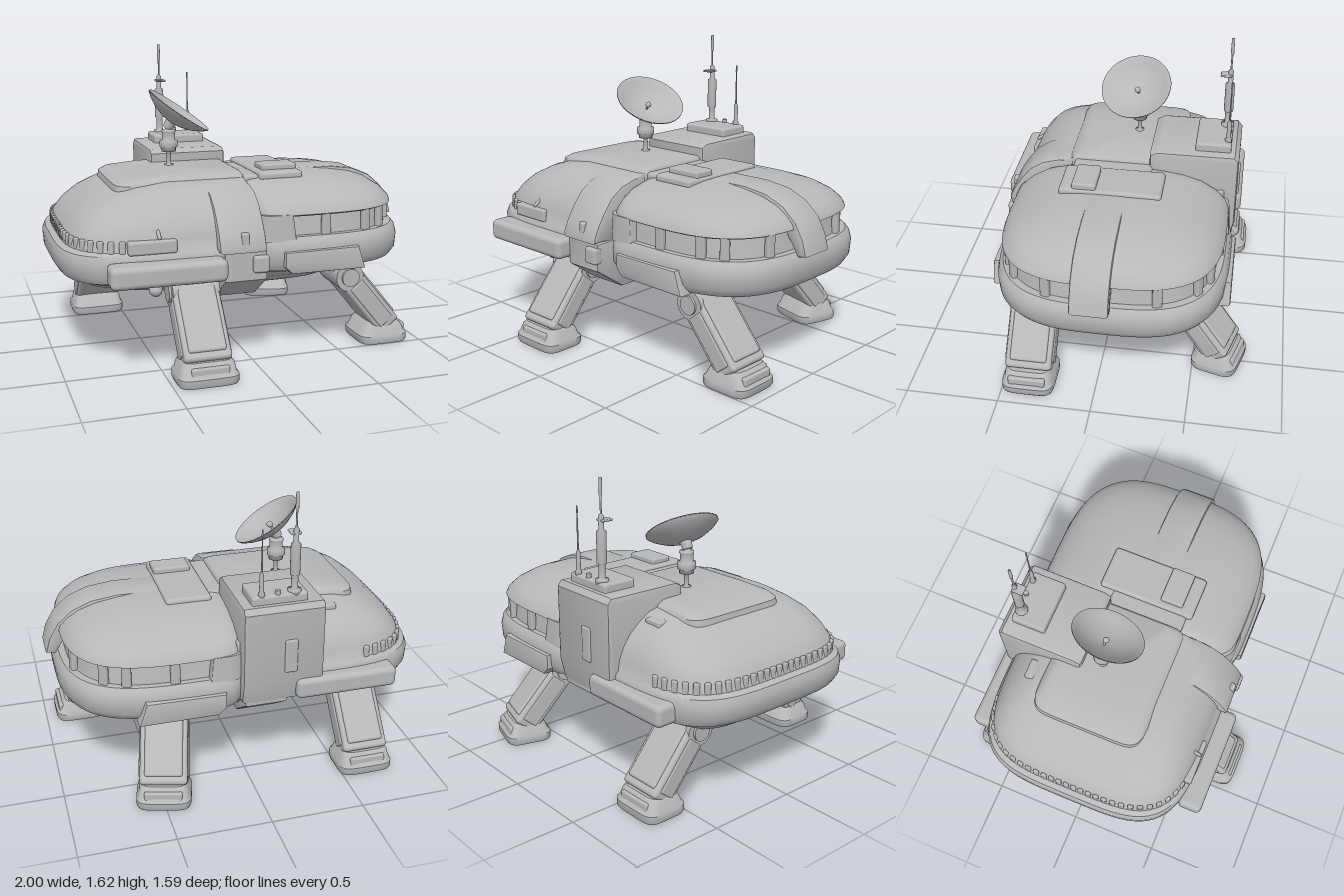
import * as THREE from 'three';
import { toCreasedNormals } from 'three/addons/utils/BufferGeometryUtils.js';
import { RoundedBoxGeometry } from 'three/addons/geometries/RoundedBoxGeometry.js';

const hullGrey = new THREE.MeshStandardMaterial({ color: 0xb8b8b8 });
hullGrey.name = 'hullGrey';
hullGrey.side = THREE.DoubleSide;

function add(parent, name, geo, x = 0, y = 0, z = 0) {
  const m = new THREE.Mesh(geo, hullGrey);
  m.name = name;
  m.position.set(x, y, z);
  parent.add(m);
  return m;
}

// Rounded box given by its limits
function box(parent, name, [x0, x1], [y0, y1], [z0, z1], r = 0.02) {
  const s = [x1 - x0, y1 - y0, z1 - z0];
  const geo = new RoundedBoxGeometry(...s, 3, Math.min(r, Math.min(...s) * 0.45));
  return add(parent, name, geo, (x0 + x1) / 2, (y0 + y1) / 2, (z0 + z1) / 2);
}

// Point on a rounded-rectangle outline; the two ends may be squared differently
function outline(t, { x0, x1, cx, cz, hz, nBack, nFront }) {
  const c = Math.cos(t), s = Math.sin(t), e = 2 / (c < 0 ? nBack : nFront);
  const px = Math.pow(Math.abs(c), e), pz = Math.pow(Math.abs(s), e);
  return [c < 0 ? cx - (cx - x0) * px : cx + (x1 - cx) * px, cz + Math.sign(s) * hz * pz];
}

// Hull lofted through levels [y, x0, x1, half width]
function hull(parent, name, levels, plan) {
  const N = 96, pos = [], idx = [];
  for (const [y, x0, x1, hz] of levels)
    for (let i = 0; i < N; i++) {
      const [x, z] = outline((i / N) * Math.PI * 2, { ...plan, x0, x1, hz });
      pos.push(x, y, z);
    }
  const L = levels.length, low = L * N, top = low + 1;
  pos.push(plan.cx, levels[0][0], plan.cz, plan.cx, levels[L - 1][0], plan.cz);
  for (let i = 0; i < N; i++) {
    const j = (i + 1) % N, o = (L - 1) * N;
    for (let k = 0; k < L - 1; k++) {
      const a = k * N, b = a + N;
      idx.push(a + i, b + i, b + j, a + i, b + j, a + j);
    }
    idx.push(low, i, j, top, o + j, o + i);
  }
  const g = new THREE.BufferGeometry();
  g.setAttribute('position', new THREE.Float32BufferAttribute(pos, 3));
  g.setIndex(idx);
  return add(parent, name, toCreasedNormals(g, 0.65));
}

// Small block set on an outline at a polar angle and turned along it
function rimBlock(parent, name, plan, angle, y, size, r) {
  const c = Math.cos(angle), s = Math.sin(angle), p = (c < 0 ? plan.nBack : plan.nFront) / 2;
  const t = Math.atan2(Math.sign(s) * Math.abs(s) ** p, Math.sign(c) * Math.abs(c) ** p);
  const [x, z] = outline(t, plan), [xa, za] = outline(t - 0.01, plan), [xb, zb] = outline(t + 0.01, plan);
  add(parent, name, new RoundedBoxGeometry(...size, 2, r), x, y, z).rotation.y = Math.atan2(za - zb, xb - xa);
}

// Extruded profile: in the side plane (z, y) along x, or in the front plane (x, y) along z
function extrude(parent, name, pts, a, b, alongX, bevel = 0.012) {
  const shape = new THREE.Shape(pts.map(p => new THREE.Vector2(...p)));
  const g = new THREE.ExtrudeGeometry(shape, {
    depth: b - a - 2 * bevel, bevelThickness: bevel, bevelSize: bevel, bevelOffset: -bevel, bevelSegments: 2,
  });
  if (alongX) g.rotateY(-Math.PI / 2).translate(b - bevel, 0, 0);
  else g.translate(0, 0, a + bevel);
  return add(parent, name, toCreasedNormals(g, 0.6));
}

const lathe = (pts, n = 24) => new THREE.LatheGeometry(pts.map(p => new THREE.Vector2(...p)), n);

// Leg splaying along its own +z, with a foot of the given half width and half depth
function leg(parent, name, x, z, yaw, fw, fd) {
  const g = new THREE.Group();
  g.name = name;
  g.position.set(x, 0, z);
  g.rotation.y = yaw;
  parent.add(g);
  const beam = new THREE.Group();
  beam.name = 'legBeam';
  beam.position.set(0, 0.4, 0);
  beam.rotation.x = -0.69;
  g.add(beam);
  box(beam, 'strut', [-0.125, 0.125], [-0.4, 0.04], [-0.07, 0.07], 0.02);
  box(beam, 'strutCover', [-0.1, 0.1], [-0.36, 0.01], [0.05, 0.082], 0.015);
  for (const s of [-1, 1]) {
    box(beam, 'sideRail', [s * 0.122 - 0.01, s * 0.122 + 0.01], [-0.36, -0.06], [-0.045, 0.045], 0.008);
    add(g, 'hipCap', new THREE.CylinderGeometry(0.05, 0.05, 0.02, 24).rotateZ(Math.PI / 2), s * 0.128, 0.4, 0);
  }
  add(g, 'hipJoint', new THREE.CylinderGeometry(0.08, 0.08, 0.25, 28).rotateZ(Math.PI / 2), 0, 0.4, 0);
  box(g, 'hipMount', [-0.08, 0.08], [0.38, 0.5], [-0.08, 0.06]);
  hull(g, 'foot', [[0, 0.97, 0.95], [0.012, 1, 1], [0.045, 1, 1], [0.06, 0.93, 0.9], [0.1, 0.88, 0.76],
    [0.118, 0.78, 0.62]].map(([y, w, d]) => [y, -fw * w, fw * w, fd * d]),
    { cx: 0, cz: 0.225, nBack: 5, nFront: 5 });
  box(g, 'toePlate', [-0.1, 0.1], [0.05, 0.1], [0.28, 0.21 + fd], 0.012);
}

export function createModel() {
  const model = new THREE.Group();
  model.name = 'walkerBase';

  // Rear module
  const rear = { cx: -0.3, cz: -0.015, nBack: 4, nFront: 14 };
  hull(model, 'rearHull', [[0.48, -0.92, 0.02, 0.56], [0.5, -0.97, 0.03, 0.6], [0.54, -0.995, 0.03, 0.615],
    [0.61, -1, 0.03, 0.618], [0.645, -0.985, 0.03, 0.61], [0.66, -0.955, 0.03, 0.595], [0.72, -0.935, 0.03, 0.585],
    [0.78, -0.89, 0.03, 0.558], [0.84, -0.815, 0.03, 0.515], [0.89, -0.72, 0.03, 0.455], [0.93, -0.6, 0.03, 0.39],
    [0.95, -0.45, 0.03, 0.31]], rear);
  hull(model, 'rearRoofPanel', [[0.88, -0.68, 0.04, 0.325], [0.935, -0.67, 0.04, 0.32], [0.955, -0.635, 0.04, 0.305],
    [0.973, -0.48, 0.03, 0.27], [0.978, -0.35, 0.02, 0.24]], { cx: -0.3, cz: -0.04, nBack: 8, nFront: 14 });

  // Teeth around the rear rim
  const teethPlan = { ...rear, x0: -0.945, x1: 0.03, hz: 0.59 };
  for (let i = 0; i < 30; i++)
    rimBlock(model, 'rimTooth', teethPlan, Math.PI * (0.66 + 0.68 * i / 29), 0.685, [0.032, 0.065, 0.022], 0.008);
  box(model, 'sideVent', [-0.68, -0.43], [0.65, 0.72], [0.53, 0.595], 0.012);

  // Front cabin with recessed window band
  const cab = { cx: 0.3, cz: -0.045, nBack: 5, nFront: 3.1 };
  hull(model, 'cabinBumper', [[0.475, 0.03, 0.9, 0.55], [0.49, 0.01, 0.935, 0.59], [0.53, 0, 0.96, 0.615],
    [0.6, 0, 0.965, 0.62], [0.645, 0, 0.955, 0.61], [0.67, 0.01, 0.935, 0.59]], cab);
  hull(model, 'windowBand', [[0.66, 0.03, 0.9, 0.56], [0.79, 0.03, 0.88, 0.54]], cab);
  hull(model, 'cabinRoof', [[0.775, 0, 0.905, 0.57], [0.785, 0, 0.925, 0.59], [0.81, 0, 0.915, 0.58],
    [0.85, 0.005, 0.875, 0.54], [0.89, 0.01, 0.81, 0.47], [0.92, 0.03, 0.72, 0.38], [0.94, 0.06, 0.6, 0.28],
    [0.95, 0.1, 0.5, 0.2]], cab);
  hull(model, 'cabinRearWall', [[0.65, 0, 0.23, 0.6], [0.79, 0, 0.21, 0.59]], { ...cab, cx: 0.2, nFront: 14 });
  const pillarPlan = { ...cab, x0: 0.02, x1: 0.905, hz: 0.565 };
  for (const a of [0.48, 0.84, 1.02, 1.4])
    for (const s of [-1, 1]) rimBlock(model, 'windowPillar', pillarPlan, s * a, 0.725, [0.05, 0.15, 0.035], 0.012);

  // Strap running over the nose
  extrude(model, 'noseStrap', [[0.37, 0.9], [0.37, 0.952], [0.6, 0.953], [0.74, 0.935], [0.85, 0.89], [0.93, 0.82],
    [0.978, 0.735], [1, 0.655], [0.95, 0.645], [0.9, 0.72], [0.84, 0.8], [0.7, 0.88]], -0.1, 0.1, false);
  box(model, 'cabinRoofPlate', [0.12, 0.37], [0.92, 0.97], [-0.28, 0.27]);
  box(model, 'roofHatch', [0.155, 0.36], [0.96, 1], [0.07, 0.2], 0.012);
  box(model, 'centreBridge', [-0.02, 0.13], [0.6, 0.955], [-0.2, 0.24]);
  box(model, 'centreCore', [-0.05, 0.12], [0.5, 0.86], [-0.5, 0.42]);

  // Belly and the joining frame around it
  hull(model, 'belly', [[0.345, -0.55, 0.48, 0.28], [0.36, -0.64, 0.53, 0.32], [0.42, -0.84, 0.62, 0.44],
    [0.485, -0.93, 0.7, 0.52]], { cx: -0.05, cz: -0.05, nBack: 5, nFront: 5 });
  extrude(model, 'joiningFrame', [[0.62, 0.63], [0.62, 0.48], [0.44, 0.355], [-0.46, 0.355], [-0.64, 0.48],
    [-0.64, 0.63]], -0.19, 0.04, true);
  box(model, 'bellyPanel', [-0.5, -0.28], [0.338, 0.36], [-0.22, 0.16], 0.006);
  box(model, 'bellyPanel', [0.12, 0.34], [0.338, 0.36], [-0.22, 0.16], 0.006);

  // Curved side cover
  extrude(model, 'sideCover', [[0.25, 0.82], [0.25, 0.938], [0.34, 0.935], [0.43, 0.91], [0.505, 0.86], [0.56, 0.79],
    [0.605, 0.72], [0.632, 0.66], [0.632, 0.63], [0.5, 0.63], [0.4, 0.76]], -0.22, 0.035, true, 0.02);
  box(model, 'sideLatch', [-0.1, -0.06], [0.65, 0.73], [0.59, 0.628], 0.01);
  box(model, 'frameLatch', [-0.04, 0.045], [0.52, 0.61], [0.59, 0.645], 0.015);

  // Equipment tower at the back
  extrude(model, 'equipmentTower', [[-0.18, 0.88], [-0.18, 1.025], [-0.22, 1.047], [-0.645, 1.05], [-0.668, 1.02],
    [-0.668, 0.62], [-0.64, 0.5], [-0.4, 0.5]], -0.38, 0.06, true, 0.02);
  box(model, 'towerTopPlate', [-0.295, 0.005], [1.03, 1.095], [-0.62, -0.425], 0.015);
  box(model, 'towerSlot', [-0.23, -0.16], [0.67, 0.86], [-0.678, -0.65], 0.012);
  box(model, 'towerSideHandle', [0.05, 0.075], [0.72, 0.84], [-0.6, -0.55], 0.01);

  // Side pontoons and cabin fenders
  box(model, 'frontPontoon', [-0.79, -0.19], [0.505, 0.62], [0.56, 0.695], 0.03);
  box(model, 'backPontoon', [-0.79, -0.23], [0.505, 0.62], [-0.695, -0.56], 0.03);
  const fender = [[0.15, 0.6], [0.57, 0.605], [0.61, 0.48], [0.19, 0.48], [0.15, 0.52]];
  extrude(model, 'frontFender', fender, 0.48, 0.592, false);
  extrude(model, 'backFender', fender, -0.685, -0.57, false);

  // Legs
  leg(model, 'frontRightLeg', -0.315, 0.45, 0, 0.16, 0.127);
  leg(model, 'frontLeftLeg', 0.57, 0.36, Math.PI / 2, 0.142, 0.145);
  leg(model, 'backLeftLeg', 0.425, -0.425, Math.PI - 0.27, 0.145, 0.13);
  leg(model, 'backRightLeg', -0.64, -0.395, Math.PI, 0.152, 0.127);
  add(model, 'undersideLamp', new THREE.SphereGeometry(0.035, 20, 14), -0.515, 0.425, 0.46);

  // Dish on its post
  add(model, 'dishPost', lathe([[0, 0.95], [0.025, 0.95], [0.025, 0.982], [0.012, 0.985], [0.012, 1.05], [0.04, 1.055],
    [0.04, 1.075], [0.05, 1.08], [0.05, 1.115], [0.036, 1.12], [0.036, 1.16], [0.04, 1.165], [0.04, 1.175],
    [0.02, 1.18], [0.02, 1.22], [0, 1.22]]), -0.3, 0, -0.08);
  const dish = new THREE.Group();
  dish.name = 'dish';
  dish.position.set(-0.25, 1.275, -0.065);
  dish.quaternion.setFromUnitVectors(new THREE.Vector3(0, 1, 0), new THREE.Vector3(0.55, 0.83, 0.14).normalize());
  model.add(dish);
  add(dish, 'dishBowl', lathe([[0, -0.07], [0.06, -0.063], [0.12, -0.043], [0.17, -0.015], [0.198, 0.008],
    [0.198, 0.016], [0.165, -0.006], [0.12, -0.033], [0.06, -0.053], [0, -0.06]], 48));
  add(dish, 'feedStem', new THREE.CylinderGeometry(0.006, 0.006, 0.04, 10), 0, -0.045, 0);
  add(dish, 'feedBall', new THREE.SphereGeometry(0.017, 16, 12), 0, -0.025, 0);
  add(dish, 'dishHub', new THREE.CylinderGeometry(0.035, 0.025, 0.05, 20), 0, -0.085, 0);

  // Antennas and studs on the tower
  add(model, 'tallAntenna', lathe([[0, 1.08], [0.035, 1.08], [0.035, 1.105], [0.018, 1.11], [0.018, 1.18], [0.026, 1.185],
    [0.026, 1.35], [0.014, 1.36], [0.014, 1.43], [0.005, 1.44], [0.005, 1.53], [0.009, 1.535], [0.008, 1.62],
    [0, 1.622]], 16), -0.228, 0, -0.585);
  box(model, 'antennaClamp', [-0.255, -0.2], [1.4, 1.412], [-0.595, -0.53], 0.005);
  add(model, 'shortAntenna', lathe([[0, 1.08], [0.018, 1.08], [0.018, 1.11], [0.012, 1.115], [0.012, 1.21], [0.005, 1.22],
    [0.003, 1.41], [0.005, 1.415], [0.004, 1.45], [0, 1.45]], 12), -0.048, 0, -0.6);
  add(model, 'towerStud', new THREE.CylinderGeometry(0.014, 0.014, 0.03, 14), -0.135, 1.1, -0.6);

  // Small handles on the rear roof
  for (const [x, y, z] of [[-0.52, 0.895, 0.36], [-0.52, 0.745, 0.56]]) {
    add(model, 'handleKnob', new THREE.SphereGeometry(0.018, 14, 10), x, y + 0.02, z - 0.03);
    add(model, 'handleBar', new THREE.CapsuleGeometry(0.01, 0.05, 4, 10).rotateX(Math.PI / 2 + 0.6), x, y, z);
  }
  box(model, 'roofLatch', [-0.52, -0.41], [0.88, 0.92], [-0.46, -0.4], 0.012);
  return model;
}
